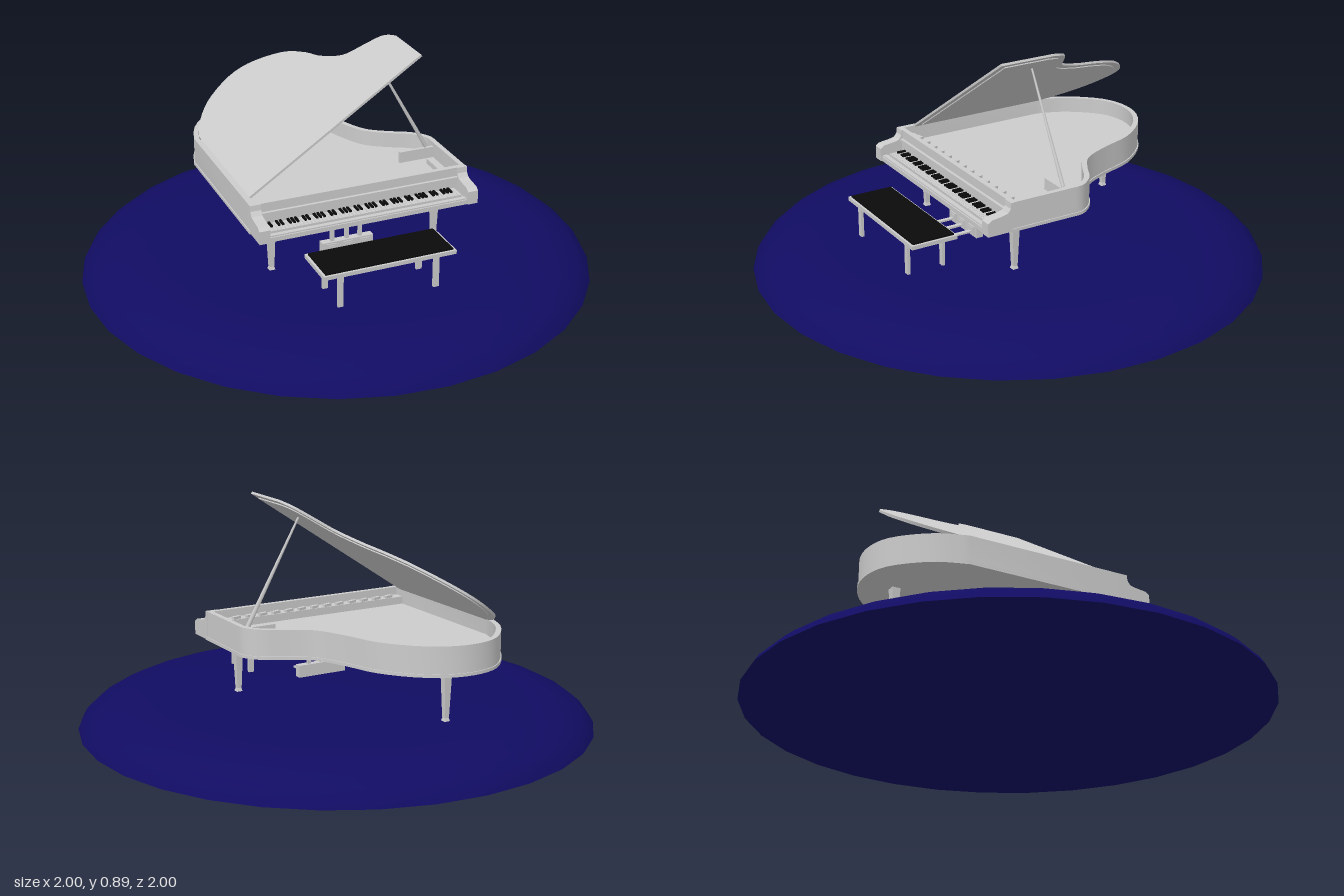
import * as THREE from 'three';
import { toCreasedNormals } from 'three/addons/utils/BufferGeometryUtils.js';

const V2 = (x, y) => new THREE.Vector2(x, y);
const material = (color, side = THREE.FrontSide) => new THREE.MeshStandardMaterial({ color, side });
const grey = material(0xcccccc), black = material(0x0a0a0a), blue = material(0x110c62);

function add(parent, name, geometry, mat = grey) {
  const mesh = new THREE.Mesh(geometry, mat);
  mesh.name = name;
  parent.add(mesh);
  return mesh;
}

// Box given by its extents on each axis
function box(parent, name, [x0, x1], [y0, y1], [z0, z1], mat = grey) {
  const mesh = add(parent, name, new THREE.BoxGeometry(x1 - x0, y1 - y0, z1 - z0), mat);
  mesh.position.set((x0 + x1) / 2, (y0 + y1) / 2, (z0 + z1) / 2);
  return mesh;
}

// Closed plan outline: straight front corners plus a smooth curved tail, as (x, -z)
function outline(front, tail, steps = 40) {
  const curve = new THREE.SplineCurve(tail.map(([x, z]) => V2(x, -z)));
  return [...front.map(([x, z]) => V2(x, -z)), ...curve.getPoints(steps)];
}

// Move a counter-clockwise outline inwards by d
function inset(points, d) {
  const n = points.length;
  return points.map((p, i) => {
    const a = p.clone().sub(points[(i + n - 1) % n]).normalize();
    const b = points[(i + 1) % n].clone().sub(p).normalize();
    const na = V2(-a.y, a.x), nb = V2(-b.y, b.x);
    const m = na.clone().add(nb).normalize();
    return p.clone().addScaledVector(m, d / Math.max(0.5, m.dot(na)));
  });
}

// Extrude a plan outline upwards from y to y + h
function slab(points, y, h, hole) {
  const shape = new THREE.Shape(points);
  if (hole) shape.holes.push(new THREE.Path(hole));
  const g = new THREE.ExtrudeGeometry(shape, { depth: h, bevelEnabled: false });
  g.rotateX(-Math.PI / 2).translate(0, y, 0);
  return toCreasedNormals(g, 0.6);
}

// Square tapered post
function taperedLeg(parent, name, x, z, top, bottom, rTop, rBottom) {
  const g = new THREE.CylinderGeometry(rTop * Math.SQRT2, rBottom * Math.SQRT2, top - bottom, 4).rotateY(Math.PI / 4);
  const leg = add(parent, name, toCreasedNormals(g, 0.5));
  leg.position.set(x, (top + bottom) / 2, z);
}

function buildStage(group) {
  const profile = [[0, 0], [1, 0], [0.985, 0.025], [0.95, 0.055], [0.9, 0.08], [0.84, 0.1], [0.77, 0.112], [0.7, 0.115], [0, 0.115]];
  const g = new THREE.LatheGeometry(profile.map(([r, y]) => V2(r, y)), 32);
  add(group, 'stage', toCreasedNormals(g, 0.7), blue);
}

function buildCase(group) {
  const tail = [[0.435, 0.0], [0.43, -0.06], [0.38, -0.12], [0.3, -0.165], [0.22, -0.225], [0.165, -0.34], [0.115, -0.48],
    [0.02, -0.6], [-0.09, -0.665], [-0.2, -0.675], [-0.3, -0.635], [-0.4, -0.52], [-0.445, -0.4]];
  const body = outline([[-0.445, 0.25], [0.435, 0.25]], tail);
  add(group, 'rim', slab(body, 0.32, 0.112, inset(body, 0.02)));
  add(group, 'soundboard', slab(inset(body, 0.015), 0.325, 0.045));
  add(group, 'baseMoulding', slab(inset(body, -0.004), 0.318, 0.012));

  // Tuning pin blocks behind the fallboard and the treble braces
  box(group, 'pinBlock', [-0.425, 0.415], [0.37, 0.4], [0.185, 0.23]);
  for (let i = 0; i < 14; i++) {
    const x = -0.38 + i * 0.058;
    box(group, 'tuningPins', [x, x + 0.035], [0.4, 0.41], [0.19, 0.205]).rotation.y = 0.25;
  }
  box(group, 'crossBrace', [0.27, 0.42], [0.37, 0.415], [-0.005, 0.008]);
  box(group, 'lengthBrace', [0.365, 0.373], [0.37, 0.39], [0.05, 0.19]);

  // Cheeks on both ends of the keyboard
  const side = new THREE.Shape([[0.24, 0.32], [0.35, 0.32], [0.35, 0.372], [0.335, 0.383], [0.29, 0.389], [0.268, 0.394],
    [0.256, 0.41], [0.254, 0.432], [0.24, 0.432]].map(([z, y]) => V2(-z, y)).reverse());
  for (const x of [-0.445, 0.395]) {
    const cheek = new THREE.ExtrudeGeometry(side, { depth: 0.042, bevelEnabled: false }).rotateY(Math.PI / 2);
    add(group, 'cheek', cheek).position.x = x;
  }
}

function buildKeyboard(group) {
  box(group, 'keyBed', [-0.405, 0.4], [0.32, 0.338], [0.23, 0.345]);
  box(group, 'keySlip', [-0.405, 0.4], [0.32, 0.343], [0.322, 0.34]);
  box(group, 'fallboard', [-0.405, 0.4], [0.35, 0.39], [0.235, 0.254]);
  box(group, 'fallboardLip', [-0.405, 0.4], [0.386, 0.397], [0.24, 0.262]);
  const count = 52, x0 = -0.39, step = 0.775 / count;
  for (let i = 0; i < count; i++) {
    const x = x0 + i * step;
    box(group, 'whiteKey', [x + 0.0007, x + step - 0.0007], [0.338, 0.35], [0.25, 0.319]);
    // Black keys follow the repeating pattern of an octave, starting on A
    if (i < count - 1 && ![1, 4].includes(i % 7))
      box(group, 'blackKey', [x + step - 0.0042, x + step + 0.0042], [0.35, 0.357], [0.25, 0.29], black);
  }
}

function buildLid(group) {
  const lid = new THREE.Group();
  lid.name = 'lid';
  lid.position.set(-0.42, 0.432, 0);
  lid.rotation.z = Math.atan2(0.455, 0.685);
  group.add(lid);
  const tail = [[0.822, -0.03], [0.79, -0.095], [0.71, -0.135], [0.63, -0.175], [0.57, -0.28], [0.54, -0.38], [0.48, -0.5],
    [0.36, -0.605], [0.25, -0.632], [0.125, -0.585], [0.04, -0.49], [0, -0.4]];
  const plan = outline([[0, 0.19], [0.822, 0.19]], tail);
  add(lid, 'lidPanel', slab(plan, -0.003, 0.009));
  add(lid, 'lidUnderside', slab(inset(plan, 0.025), -0.007, 0.005));

  // Prop stick, thinner towards the top
  const a = new THREE.Vector3(0.385, 0.42, 0), b = new THREE.Vector3(0.165, 0.815, 0);
  const stick = add(group, 'propStick', new THREE.CylinderGeometry(0.004, 0.009, a.distanceTo(b), 6));
  stick.position.copy(a).add(b).multiplyScalar(0.5);
  stick.quaternion.setFromUnitVectors(new THREE.Vector3(0, 1, 0), b.clone().sub(a).normalize());
}

function buildLegs(group) {
  for (const [x, z] of [[-0.34, 0.18], [0.337, 0.18], [-0.14, -0.545]]) {
    taperedLeg(group, 'leg', x, z, 0.32, 0.128, 0.016, 0.009);
    taperedLeg(group, 'foot', x, z, 0.128, 0.115, 0.008, 0.012);
  }
}

function buildPedals(group) {
  box(group, 'pedalBox', [-0.135, 0.075], [0.133, 0.182], [0.16, 0.19]);
  for (const x of [-0.09, -0.03, 0.025]) box(group, 'lyrePost', [x - 0.007, x + 0.007], [0.18, 0.322], [0.168, 0.182]);
  for (const x of [-0.1, -0.03, 0.04]) {
    box(group, 'pedalFrame', [x - 0.02, x + 0.02], [0.14, 0.176], [0.188, 0.194]);
    box(group, 'pedalSlot', [x - 0.014, x + 0.014], [0.147, 0.169], [0.19, 0.196]);
    box(group, 'pedal', [x - 0.008, x + 0.008], [0.148, 0.155], [0.19, 0.26]);
  }
}

function buildBench(group) {
  box(group, 'benchSeat', [-0.28, 0.246], [0.243, 0.258], [0.368, 0.556]);
  box(group, 'benchCushion', [-0.27, 0.236], [0.255, 0.264], [0.377, 0.547], black);
  for (const x of [-0.21, 0.172])
    for (const z of [0.393, 0.538])
      box(group, 'benchLeg', [x - 0.011, x + 0.011], [0.115, 0.245], [z - 0.006, z + 0.006]);
}

export function createModel() {
  const model = new THREE.Group();
  model.name = 'grandPianoOnStage';
  const builders = { stage: buildStage, case: buildCase, keyboard: buildKeyboard, lidAssembly: buildLid,
    legs: buildLegs, pedalLyre: buildPedals, bench: buildBench };
  for (const [name, build] of Object.entries(builders)) {
    const part = new THREE.Group();
    part.name = name;
    build(part);
    model.add(part);
  }
  return model;
}
